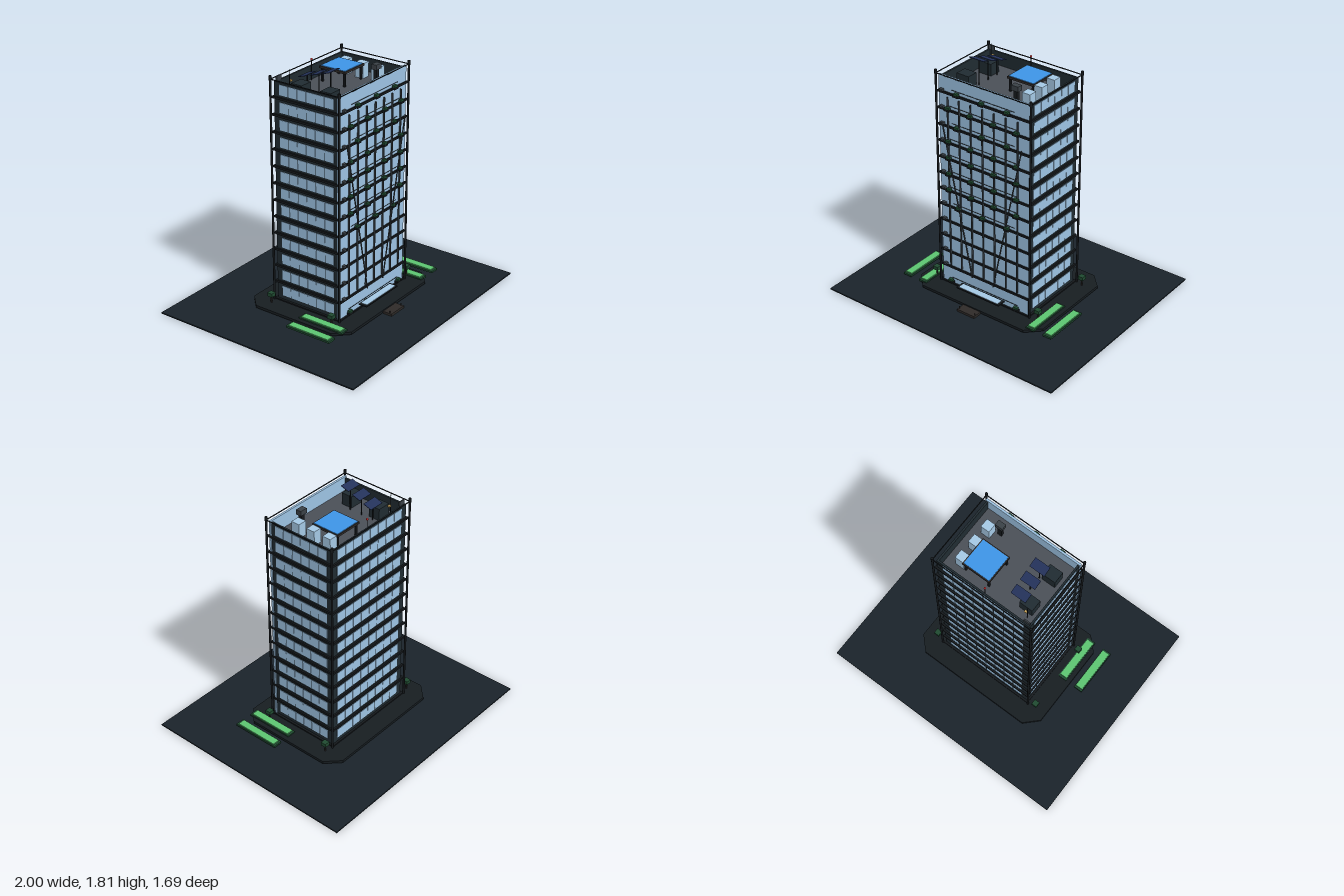
import * as THREE from 'three';

const mat = (c) => new THREE.MeshStandardMaterial({ color: c });

export function createModel() {
  const root = new THREE.Group();
  const M = {
    ground: mat(0x1a232a), podium: mat(0x171d21), dark: mat(0x202b31), frame: mat(0x15191c),
    glass: mat(0x9cc2e2), deck: mat(0x4a4f57), metal: mat(0x3a4147), green: mat(0x5cc470),
    leaf: mat(0x1f4a30), pool: mat(0x3d94e6), solar: mat(0x24325a), light: mat(0xa4c8e4),
    brown: mat(0x2e2a28), red: mat(0xd03030), bright: mat(0xd8b060),
  };
  const group = (name) => {
    const g = new THREE.Group();
    g.name = name;
    root.add(g);
    return g;
  };
  // box given by centre and size
  const box = (parent, name, m, x, y, z, w, h, d) => {
    const b = new THREE.Mesh(new THREE.BoxGeometry(w, h, d), m);
    b.name = name;
    b.position.set(x, y, z);
    parent.add(b);
    return b;
  };
  // thin round bar between two points
  const bar = (parent, name, m, a, b, r) => {
    const p = new THREE.Vector3(...a), q = new THREE.Vector3(...b);
    const dir = q.clone().sub(p);
    const c = new THREE.Mesh(new THREE.CylinderGeometry(r, r, dir.length(), 8), m);
    c.name = name;
    c.position.copy(p).add(q).multiplyScalar(0.5);
    c.quaternion.setFromUnitVectors(new THREE.Vector3(0, 1, 0), dir.normalize());
    parent.add(c);
  };
  // octagonal slab with chamfered corners
  const octagon = (name, m, hw, hd, cut, y, h) => {
    const s = new THREE.Shape([
      [-hw + cut, -hd], [hw - cut, -hd], [hw, -hd + cut], [hw, hd - cut],
      [hw - cut, hd], [-hw + cut, hd], [-hw, hd - cut], [-hw, -hd + cut],
    ].map(([x, z]) => new THREE.Vector2(x, z)));
    const g = new THREE.ExtrudeGeometry(s, { depth: h, bevelEnabled: false });
    g.rotateX(-Math.PI / 2);
    const o = new THREE.Mesh(g, m);
    o.name = name;
    o.position.y = y;
    root.add(o);
  };

  // site
  box(root, 'ground', M.ground, 0, 0.005, 0, 2, 0.01, 1.69);
  octagon('podiumBase', M.podium, 0.5, 0.4, 0.1, 0.01, 0.015);
  octagon('podium', M.podium, 0.56, 0.435, 0.1, 0.02, 0.02);
  box(root, 'plinth', M.frame, 0, 0.043, 0, 0.8, 0.012, 0.58);

  // tower body, hollow above the roof deck
  const FLOOR = 0.128, FLOORS = 13, DECK = 1.605, TOP = 1.705;
  const tower = group('tower');
  box(tower, 'core', M.dark, 0, 0.82, -0.003, 0.766, 1.56, 0.542);
  box(tower, 'roofDeck', M.deck, 0, DECK - 0.003, 0, 0.76, 0.006, 0.54);
  box(tower, 'frontGlass', M.glass, 0, 0.88, 0.27, 0.78, 1.67, 0.016);
  box(tower, 'backParapet', M.dark, 0, 1.65, -0.267, 0.766, 0.11, 0.014);
  for (const s of [-1, 1]) box(tower, 'sideParapet', M.dark, s * 0.376, 1.65, 0, 0.014, 0.11, 0.54);

  // floor slabs and window bands
  const slabs = group('floorSlabs'), windows = group('windows');
  for (let i = 0; i < FLOORS; i++) {
    const y = 0.117 + FLOOR * i;
    if (i < FLOORS - 1) {
      const sy = 0.184 + FLOOR * i;
      box(slabs, 'frontEdge', M.frame, 0, sy, 0.277, 0.79, 0.016, 0.024);
      box(slabs, 'backEdge', M.frame, 0, sy, -0.277, 0.79, 0.016, 0.02);
      for (const s of [-1, 1]) box(slabs, 'sideEdge', M.frame, s * 0.387, sy, 0, 0.016, 0.016, 0.57);
    }
    for (let k = 0; k < 6; k++)
      for (const s of [-1, 1])
        box(windows, 'sidePane', M.glass, s * 0.383, y, -0.192 + k * 0.0768, 0.006, 0.075, 0.073);
    for (let k = 0; k < 8; k++)
      box(windows, 'backPane', M.glass, -0.294 + k * 0.084, y, -0.274, 0.079, 0.075, 0.006);
  }

  // corner posts and roof rail
  const posts = group('cornerPosts');
  const px = 0.404, pz = 0.29;
  for (const s of [-1, 1]) {
    for (const t of [-1, 1]) {
      bar(posts, 'post', M.frame, [s * px, 0.03, t * pz], [s * px, 1.73, t * pz], 0.008);
      bar(posts, 'postCap', M.frame, [s * px, 1.715, t * pz], [s * px, 1.748, t * pz], 0.01);
    }
    bar(posts, 'sideRail', M.frame, [s * px, 1.722, -pz], [s * px, 1.722, pz], 0.004);
    bar(posts, 'longRail', M.frame, [-px, 1.722, s * pz], [px, 1.722, s * pz], 0.004);
  }

  // front fins and diagonal braces
  const facade = group('facadeFrame');
  for (let k = -3; k <= 3; k++) box(facade, 'fin', M.metal, k * 0.1, 0.89, 0.297, 0.007, 1.36, 0.012);
  for (const s of [-1, 1])
    bar(facade, 'brace', M.metal, [s * 0.095, 0.185, 0.308], [s * 0.342, 1.37, 0.308], 0.005);

  // balcony planters, rails and wall units
  const planters = group('planters');
  const planterRow = (y, count) => {
    const xs = count === 3 ? [-0.215, 0, 0.215] : [-0.295, -0.1, 0.1, 0.295];
    for (const x of xs) {
      box(planters, 'pot', M.frame, x, y, 0.305, 0.046, 0.014, 0.026);
      box(planters, 'shrub', M.leaf, x, y + 0.014, 0.305, 0.036, 0.016, 0.022);
    }
    const half = count === 3 ? 0.27 : 0.3;
    bar(planters, 'rail', M.metal, [-half, y + 0.028, 0.292], [half, y + 0.028, 0.292], 0.002);
  };
  [3, 4, 3, 4, 4, 4, 4, 3].forEach((n, i) => planterRow(1.604 - FLOOR * i, n));
  planterRow(0.073, 4);
  for (let i = 0; i < FLOORS - 1; i++)
    box(facade, 'wallUnit', M.metal, -0.352, 0.204 + (i - 1) * FLOOR + FLOOR, 0.293, 0.028, 0.016, 0.02);

  // entrance canopy and step
  const entrance = group('entrance');
  box(entrance, 'canopyFrame', M.frame, 0, 0.096, 0.338, 0.385, 0.008, 0.07);
  box(entrance, 'canopyGlass', M.light, 0, 0.1, 0.338, 0.35, 0.006, 0.05);
  box(entrance, 'step', M.brown, 0, 0.022, 0.47, 0.155, 0.018, 0.075);
  for (const s of [-1, 1])
    bar(entrance, 'stepPost', M.brown, [s * 0.07, 0.02, 0.488], [s * 0.07, 0.048, 0.488], 0.003);

  // lawn beds and trees
  const garden = group('garden');
  for (const s of [-1, 1]) {
    for (const x of [0.491, 0.637]) {
      box(garden, 'bedRim', M.leaf, s * x, 0.042, 0.213, 0.07, 0.014, 0.375);
      box(garden, 'lawn', M.green, s * x, 0.05, 0.213, 0.055, 0.014, 0.342);
    }
    for (const z of [-0.272, 0.265]) {
      bar(garden, 'trunk', M.brown, [s * 0.462, 0.035, z], [s * 0.462, 0.1, z], 0.006);
      box(garden, 'crown', M.leaf, s * 0.462, 0.108, z, 0.042, 0.028, 0.042);
    }
  }

  // roof pool on a raised slab
  const roof = group('roofEquipment');
  box(roof, 'poolSlab', M.brown, 0.122, 1.711, -0.08, 0.224, 0.016, 0.224);
  box(roof, 'poolWater', M.pool, 0.122, 1.719, -0.08, 0.208, 0.008, 0.208);
  for (const s of [-1, 1]) for (const t of [-1, 1])
    box(roof, 'poolLeg', M.frame, 0.122 + s * 0.095, 1.655, -0.08 + t * 0.095, 0.014, 0.1, 0.014);

  // cooling units, dark plant boxes and vent
  for (const z of [-0.15, -0.01, 0.125]) box(roof, 'coolingUnit', M.light, 0.264, 1.66, z, 0.068, 0.11, 0.068);
  for (const z of [-0.128, 0.118]) box(roof, 'plantBox', M.dark, -0.273, 1.65, z, 0.104, 0.09, 0.088);
  box(roof, 'vent', M.metal, 0.19, 1.74, 0.165, 0.06, 0.038, 0.042);
  box(roof, 'ventStem', M.frame, 0.19, 1.663, 0.165, 0.03, 0.118, 0.025);
  box(roof, 'signalPanel', M.metal, -0.35, 1.725, -0.26, 0.05, 0.034, 0.01);

  // solar panels stepping along one slope
  for (let i = 0; i < 3; i++) {
    const y = 1.735 + 0.032 * i, z = -0.13 + 0.1 * i;
    box(roof, 'solarPanel', M.solar, -0.203, y, z, 0.12, 0.004, 0.07).rotation.x = -0.31;
    bar(roof, 'solarLeg', M.frame, [-0.203, DECK, z], [-0.203, y, z], 0.004);
  }

  // masts
  bar(roof, 'mast', M.frame, [-0.308, DECK, -0.2], [-0.308, 1.785, -0.2], 0.0025);
  box(roof, 'mastLamp', M.bright, -0.295, 1.7, -0.2, 0.018, 0.012, 0.016);
  bar(roof, 'beaconMast', M.frame, [0, DECK, -0.25], [0, 1.755, -0.25], 0.0025);
  const beacon = new THREE.Mesh(new THREE.SphereGeometry(0.008, 12, 8), M.red);
  beacon.name = 'beacon';
  beacon.position.set(0, 1.758, -0.25);
  roof.add(beacon);

  return root;
}
